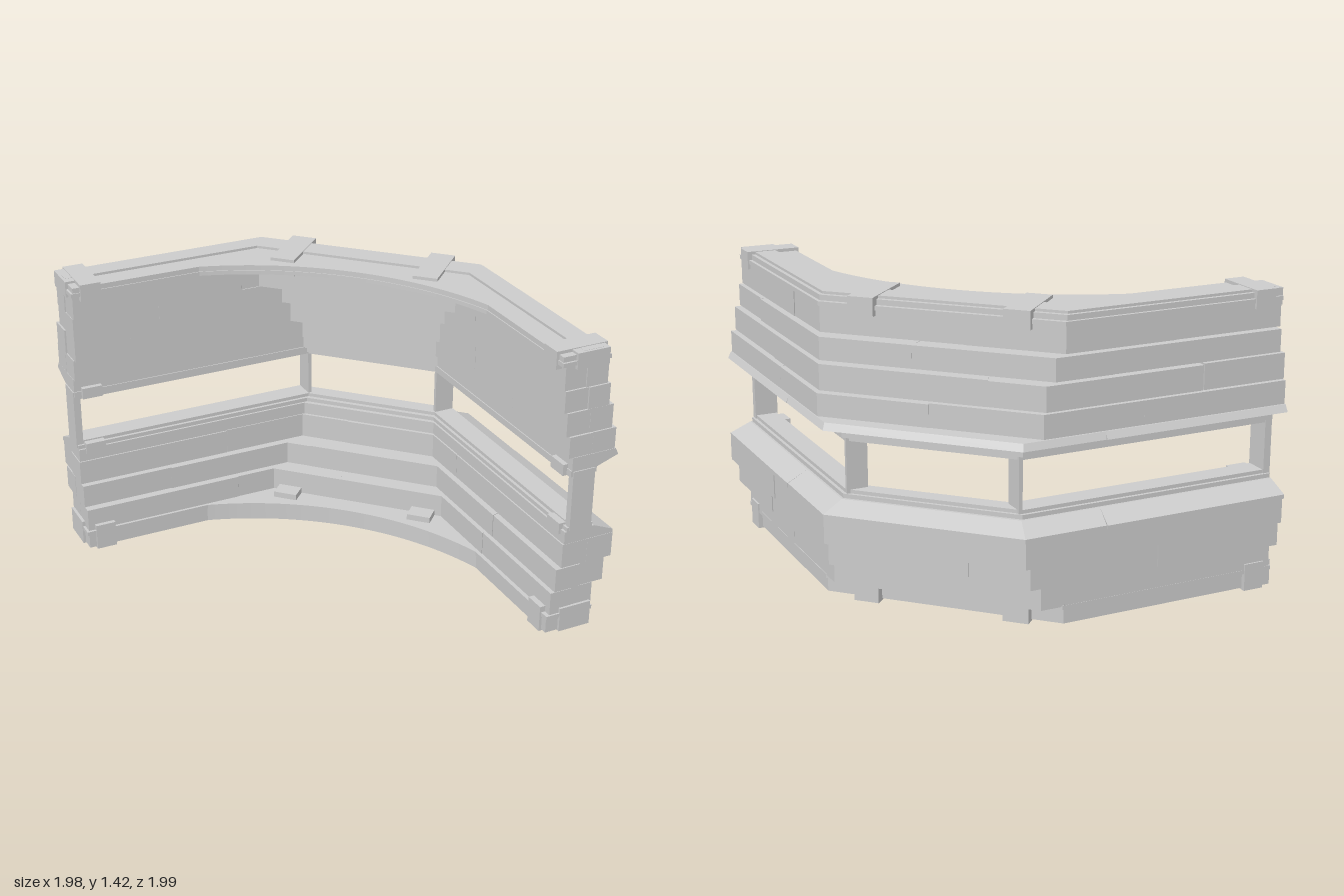
import * as THREE from 'three';

const mat = new THREE.MeshStandardMaterial({ color: 0xcccccc, flatShading: true, side: THREE.DoubleSide });

let seed = 7;
const rand = () => (seed = (seed * 16807) % 2147483647) / 2147483647;

function add(parent, name, geo) {
  const mesh = new THREE.Mesh(geo, mat);
  mesh.name = name;
  parent.add(mesh);
  return mesh;
}

// Point on the bent wall line. a = distance of both arms from the axes,
// c = x - z of the diagonal, e = arm end, u = 0..3 along arm, diagonal, arm.
function along(a, c, y, u, e) {
  const p = [[-e, -a], [c - a, -a], [a, a - c], [a, e]];
  const i = Math.min(2, Math.floor(u)), t = u - i;
  return [p[i][0] + (p[i + 1][0] - p[i][0]) * t, y, p[i][1] + (p[i + 1][1] - p[i][1]) * t];
}

// Sweep a convex section of [a, c, y] points (inner bottom, outer bottom, outer top, inner top).
function sweep(section, u0 = 0, u1 = 3, e = 0.985) {
  const stops = [u0, ...[1, 2].filter(k => k > u0 && k < u1), u1];
  const rings = stops.map(u => section.map(([a, c, y]) => along(a, c, y, u, e)));
  const v = [], n = section.length;
  const tri = (p, q, r) => v.push(...p, ...q, ...r);
  for (let s = 0; s + 1 < rings.length; s++) {
    const A = rings[s], B = rings[s + 1];
    for (let i = 0; i < n; i++) {
      const j = (i + 1) % n;
      tri(A[i], A[j], B[j]);
      tri(A[i], B[j], B[i]);
    }
  }
  const F = rings[0], L = rings[rings.length - 1];
  for (let k = 1; k + 1 < n; k++) {
    tri(F[0], F[k + 1], F[k]);
    tri(L[0], L[k], L[k + 1]);
  }
  const geo = new THREE.BufferGeometry();
  geo.setAttribute('position', new THREE.Float32BufferAttribute(v, 3));
  geo.computeVertexNormals();
  return geo;
}

const rect = (ai, ci, ao, co, y0, y1) => [[ai, ci, y0], [ao, co, y0], [ao, co, y1], [ai, ci, y1]];

// Flat plate with a straight bent outer edge and a curved inner edge
function plate(ai, ao, co, e, y0, y1) {
  const s = new THREE.Shape();
  s.moveTo(-e, ao);
  s.lineTo(co - ao, ao);
  s.lineTo(ao, co - ao);
  s.lineTo(ao, -e);
  s.lineTo(ai, -e);
  const m = -0.777, r = Math.hypot(ai - m, -0.35 - m), t = Math.atan2(-0.35 - m, ai - m);
  s.absarc(m, m, r, t, Math.PI / 2 - t, false);
  s.lineTo(-e, ai);
  const geo = new THREE.ExtrudeGeometry(s, { depth: y1 - y0, bevelEnabled: false, curveSegments: 20 });
  geo.rotateX(-Math.PI / 2);
  geo.translate(0, y0, 0);
  return geo;
}

// Box on the first arm, repeated on the second by the wall's diagonal symmetry
function armBoxes(parent, name, x0, x1, y0, y1, z0, z1) {
  const w = x1 - x0, h = y1 - y0, d = z1 - z0;
  const x = (x0 + x1) / 2, y = (y0 + y1) / 2, z = (z0 + z1) / 2;
  add(parent, name, new THREE.BoxGeometry(w, h, d)).position.set(x, y, z);
  add(parent, name, new THREE.BoxGeometry(d, h, w)).position.set(-z, y, -x);
}

// Box across the diagonal, from c0 to c1, at both sides of its middle
function diagonalBoxes(parent, name, c0, c1, t, width, y0, y1) {
  for (const s of [-1, 1]) {
    const c = (c0 + c1) / 2;
    const m = add(parent, name, new THREE.BoxGeometry((c1 - c0) / Math.SQRT2, y1 - y0, width));
    m.position.set((c + s * t) / 2, (y0 + y1) / 2, (s * t - c) / 2);
    m.rotation.y = Math.PI / 4;
  }
}

// One course of planks: an inner and an outer layer with different joints
function course(parent, name, [y0, y1, ai, ci, ao, co], inJoints, outJoints) {
  const am = (ai + ao) / 2, cm = (ci + co) / 2;
  [[true, inJoints], [false, outJoints]].forEach(([inner, joints]) => {
    const cuts = [0, ...joints, 3];
    for (let i = 0; i + 1 < cuts.length; i++) {
      const j = (rand() - 0.5) * 0.012, top = y1 - rand() * 0.006, e = 0.98 + rand() * 0.01;
      const section = inner
        ? rect(ai + j, ci + j, am, cm, y0, top)
        : rect(am, cm, ao + j, co + j, y0, top);
      add(parent, name, sweep(section, cuts[i], cuts[i + 1], e));
    }
  });
}

export function createModel() {
  const model = new THREE.Group();
  model.name = 'cornerWall';

  // Plank courses: y0, y1, inner a, inner c, outer a, outer c
  const lower = new THREE.Group();
  lower.name = 'lowerWall';
  const upper = new THREE.Group();
  upper.name = 'upperWall';
  model.add(lower, upper);
  [
    [0.095, 0.22, 0.67, 0.70, 0.89, 1.09],
    [0.22, 0.34, 0.69, 0.81, 0.945, 1.22],
    [0.34, 0.465, 0.72, 0.94, 0.98, 1.30],
  ].forEach((r, i) => course(lower, 'lowerPlank', r,
    [[0.8, 1.4, 2.4], [0.42, 1.15, 1.7, 2.5], [0.65, 1.35, 2.2]][i],
    [[0.9, 1.5, 2.45], [0.5, 1.3, 2.6], [0.7, 1.55, 2.5]][i]));
  [
    [0.90, 1.01, 0.725, 0.95, 0.955, 1.18],
    [1.01, 1.13, 0.70, 0.85, 0.935, 1.14],
    [1.13, 1.24, 0.685, 0.78, 0.91, 1.06],
    [1.24, 1.365, 0.67, 0.64, 0.89, 0.98],
  ].forEach((r, i) => course(upper, 'upperPlank', r,
    [[0.5, 1.2, 1.7, 2.6], [0.25, 0.8, 1.5, 2.3], [0.4, 1.35, 2.5], [0.9, 1.6, 2.2]][i],
    [[0.6, 1.5, 2.4], [0.35, 1.25, 2.5], [0.75, 1.6, 2.7], [0.5, 1.4, 2.3]][i]));

  // Sloped sill below the opening and visor above it
  for (const [u0, u1] of [[0, 0.7], [0.7, 1.52], [1.52, 2.35], [2.35, 3]]) {
    const o = 0.982 + rand() * 0.008;
    add(lower, 'sill', sweep([[0.725, 0.96, 0.46], [o, 1.31, 0.46], [o, 1.31, 0.48],
      [0.88, 1.17, 0.525], [0.725, 0.96, 0.525]], u0, u1));
    add(upper, 'visor', sweep([[0.74, 0.98, 0.83], [0.87, 1.16, 0.83], [o - 0.005, 1.315, 0.868],
      [0.965, 1.29, 0.90], [0.74, 0.98, 0.90]], u0, u1));
  }

  // Window rails and posts
  const frame = new THREE.Group();
  frame.name = 'windowFrame';
  model.add(frame);
  add(frame, 'lowerRail', sweep(rect(0.735, 0.99, 0.87, 1.15, 0.52, 0.545)));
  add(frame, 'lowerRailLip', sweep(rect(0.75, 1.02, 0.855, 1.13, 0.54, 0.562)));
  add(frame, 'upperRail', sweep(rect(0.735, 0.99, 0.87, 1.15, 0.805, 0.835)));
  add(frame, 'upperRailLip', sweep(rect(0.75, 1.02, 0.855, 1.13, 0.788, 0.81)));
  armBoxes(frame, 'endPost', -0.99, -0.955, 0.53, 0.83, -0.86, -0.745);
  armBoxes(frame, 'cornerPost', 0.272, 0.29, 0.53, 0.83, -0.855, -0.755);
  armBoxes(frame, 'railClip', -0.95, -0.85, 0.50, 0.555, -0.78, -0.715);
  armBoxes(frame, 'railClip', -0.95, -0.85, 0.80, 0.855, -0.78, -0.715);

  // Base and top plates with their ledges and raised band
  add(model, 'basePlate', plate(0.655, 0.88, 0.96, 0.985, 0.008, 0.08));
  add(model, 'baseLedge', plate(0.65, 0.895, 0.99, 0.995, 0.08, 0.1));
  add(model, 'topLedge', plate(0.65, 0.895, 0.99, 0.995, 1.36, 1.38));
  add(model, 'topPlate', plate(0.655, 0.88, 0.96, 0.985, 1.38, 1.405));
  add(model, 'topBand', sweep(rect(0.76, 0.76, 0.862, 0.93, 1.4, 1.417)));

  // Brackets gripping the plates
  for (const [y0, y1] of [[0, 0.13], [1.335, 1.42]]) {
    const b = new THREE.Group();
    b.name = 'brackets';
    model.add(b);
    armBoxes(b, 'armBracket', -0.95, -0.85, y0, y1, -0.902, -0.642);
    armBoxes(b, 'endBracket', -0.998, -0.93, y0 + 0.004, y1 - 0.004, -0.885, -0.72);
    diagonalBoxes(b, 'diagonalBracket', 0.575, 1.02, 0.505, 0.12, y0, y1);
  }
  return model;
}
